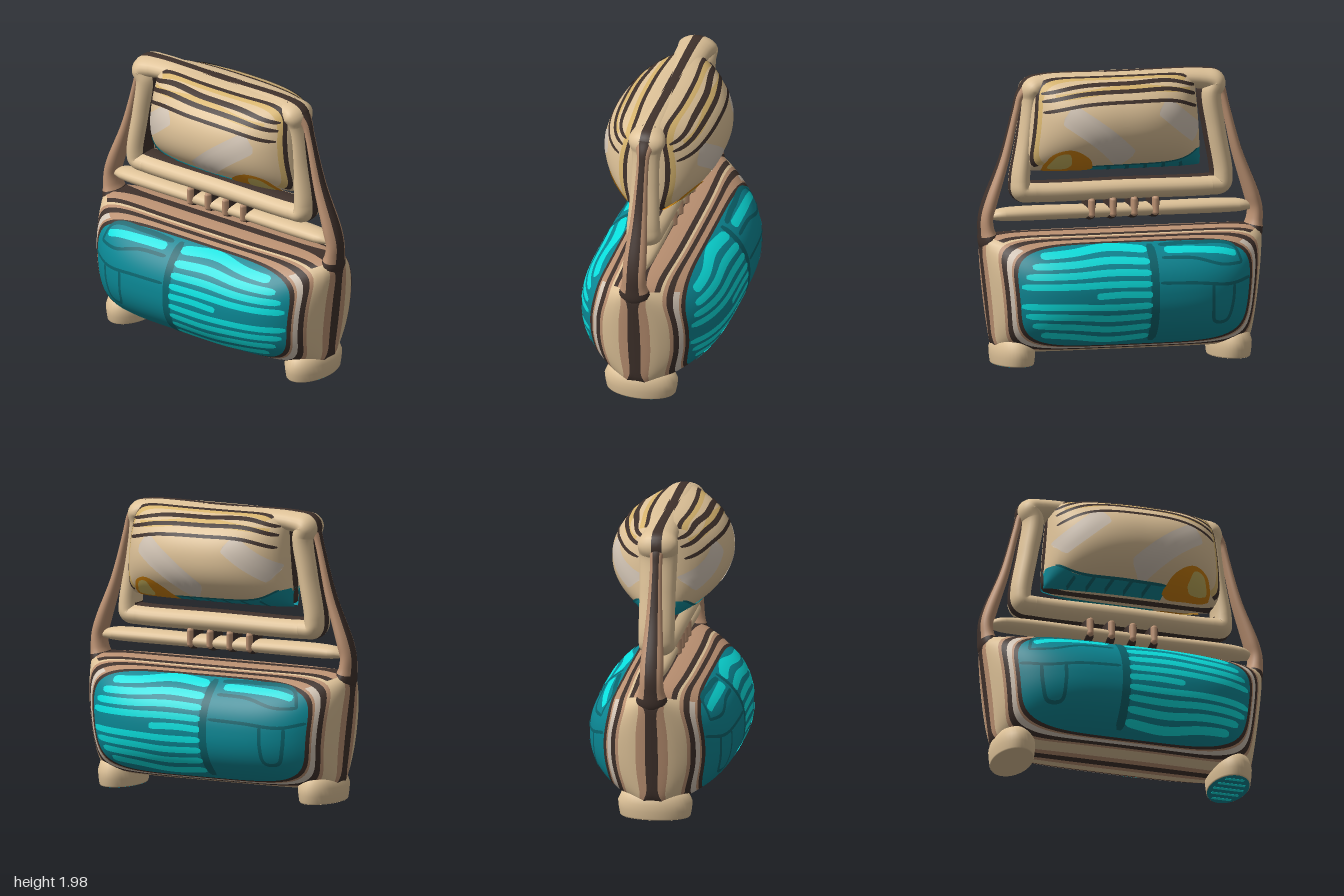
import * as THREE from 'three';

const V = (x, y, z) => new THREE.Vector3(x, y, z);
const paint = (name, color) => {
  const m = new THREE.MeshStandardMaterial({ color, side: THREE.DoubleSide });
  m.name = name;
  return m;
};
const dark = paint('dark seam', 0x40322c), beige = paint('beige', 0xdec298), brown = paint('brown', 0xbb9172);
const grey = paint('pale grey', 0xd5c7b7), gold = paint('gold', 0xd8b56e), teal = paint('teal', 0x0b8895);
const deep = paint('deep teal', 0x0a656e), cyan = paint('cyan', 0x0ae2e0);
const orange = paint('orange', 0xd0820a), olive = paint('olive yellow', 0xcab45e);

// Grid surface with one geometry group per colour
function gridMesh(name, ni, nj, pos, matOf, wrap = false, flip = false) {
  const cols = wrap ? nj : nj + 1, verts = [], faces = new Map();
  for (let i = 0; i <= ni; i++) for (let j = 0; j < cols; j++) verts.push(...pos(i, j).toArray());
  for (let i = 0; i < ni; i++) for (let j = 0; j < nj; j++) {
    const k = (j + 1) % cols, a = i * cols + j, b = i * cols + k, c = b + cols, d = a + cols;
    const m = matOf(i, j);
    if (!faces.has(m)) faces.set(m, []);
    faces.get(m).push(...(flip ? [a, c, b, a, d, c] : [a, b, c, a, c, d]));
  }
  const geo = new THREE.BufferGeometry(), index = [], mats = [...faces.keys()];
  mats.forEach((m, n) => {
    geo.addGroup(index.length, faces.get(m).length, n);
    for (const f of faces.get(m)) index.push(f);
  });
  geo.setAttribute('position', new THREE.Float32BufferAttribute(verts, 3));
  geo.setIndex(index);
  geo.computeVertexNormals();
  const mesh = new THREE.Mesh(geo, mats);
  mesh.name = name;
  return mesh;
}

// Inflated pillow: centre line, half width and depth rules
function pillow({ cy, h, mid, half, depth, p, e }) {
  return {
    uv: (X, v) => { const y = cy + h * v; return [mid(y) + half(y) * X, y]; },
    at: (x, y, s, off = 0) => {
      const X = Math.min(1, Math.abs((x - mid(y)) / half(y))), v = (y - cy) / h;
      const z = depth * Math.sqrt(Math.max(0, (1 - X ** p) * (1 - Math.abs(v) ** e)));
      return V(x, y + off * v, s * (z + off));
    },
  };
}

// Pillow half built from nested rounded rectangles; bands are [inner size, steps, colour rule]
function pillowHalf(name, P, bands, s) {
  const rings = [[1, null], [1, bands[0][2]]];
  let q0 = 1;
  for (const [q1, steps, rule] of bands) {
    for (let k = 1; k <= steps; k++) rings.push([q0 + (q1 - q0) * k / steps, rule]);
    q0 = q1;
  }
  const N = 128, ang = (j) => (j / N) * Math.PI * 2;
  return gridMesh(name, rings.length - 1, N, (i, j) => {
    const q = rings[i][0], n = 4.6 + 8 * Math.max(0, (q - 0.85) / 0.15) ** 1.5;
    const c = Math.cos(ang(j)), d = Math.sin(ang(j));
    const r = q * (Math.abs(c) ** n + Math.abs(d) ** n) ** (-1 / n);
    const pt = P.at(...P.uv(r * c, r * d), s);
    if (i === 0) pt.z = 0;
    return pt;
  }, (i, j) => rings[i + 1][1](Math.cos(ang(j + 0.5)), Math.sin(ang(j + 0.5))), true, s < 0);
}

// Painted area between a lower and an upper edge, rows are [x, low, high]
function area(name, P, rows, mat, off, s) {
  const curve = new THREE.CatmullRomCurve3(rows.map((r) => V(...r)), false, 'centripetal');
  return gridMesh(name, 32, 8, (i, j) => {
    const c = curve.getPoint(i / 32);
    return P.at(c.x, c.y + (c.z - c.y) * j / 8, s, off);
  }, () => mat, false, s > 0);
}

// Painted line of half width w with softened ends
function stroke(name, P, pts, w, mat, off, s) {
  const curve = new THREE.CatmullRomCurve3(pts.map(([x, y]) => V(x, y, 0)), false, 'centripetal');
  return gridMesh(name, 32, 4, (i, j) => {
    const t = i / 32, c = curve.getPoint(t), d = curve.getTangent(t);
    const k = w * (j / 2 - 1) * Math.min(1, 0.5 + 14 * Math.min(t, 1 - t));
    return P.at(c.x - d.y * k, c.y + d.x * k, s, off);
  }, () => mat, false, s < 0);
}

// Oval bar along [x, y, radius] points, deeper in z by a ratio
function bar(name, pts, ratio, matOf, closed = false) {
  const curve = new THREE.CatmullRomCurve3(pts.map((q) => V(...q)), closed, 'centripetal');
  const ni = closed ? 160 : 60, nj = 24;
  return gridMesh(name, ni, nj, (i, j) => {
    const c = curve.getPoint(i / ni), d = curve.getTangent(i / ni);
    const l = Math.hypot(d.x, d.y) || 1, f = (j / nj) * Math.PI * 2, k = c.z * Math.cos(f);
    return V(c.x - d.y / l * k, c.y + d.x / l * k, ratio * c.z * Math.sin(f));
  }, (i, j) => matOf(i / ni, Math.min(j, nj - 1 - j)), true);
}

export function createModel() {
  const model = new THREE.Group();
  model.name = 'inflated chair';
  const add = (m) => model.add(m);
  const all = (m) => () => m;
  const top = (a, b) => (c, d) => (d > Math.abs(c) ? a : b);

  // Seat body and backrest cushion
  const body = pillow({ cy: 0.49, h: 0.41, mid: () => 0, half: (y) => 0.905 + 0.115 * (y - 0.08), depth: 0.51, p: 3.7, e: 2.3 });
  const bodyBands = [
    [0.998, 2, all(dark)], [0.987, 3, all(brown)], [0.968, 3, top(brown, beige)], [0.948, 2, top(dark, beige)],
    [0.937, 2, all(beige)], [0.923, 2, all(brown)], [0.9, 2, all(dark)], [0.877, 2, top(brown, grey)],
    [0.867, 2, all(brown)], [0.845, 2, all(dark)], [0.001, 24, all(teal)],
  ];
  const rise = (y) => (y - 1.31) / 0.66;
  const cushion = pillow({ cy: 1.64, h: 0.33, mid: (y) => 0.075 - 0.01 * rise(y), half: (y) => 0.635 - 0.06 * rise(y), depth: 0.4, p: 2.6, e: 2.1 });
  const edge = (a) => (c, d) => (d > Math.abs(c) || c > Math.abs(d) ? a : beige);
  const cushionBands = [
    [0.996, 2, all(dark)], [0.955, 4, all(beige)], [0.93, 2, edge(dark)], [0.895, 2, edge(gold)], [0.001, 28, all(beige)],
  ];

  for (const s of [1, -1]) {
    add(pillowHalf('seat body', body, bodyBands, s));
    add(pillowHalf('back cushion', cushion, cushionBands, s));
    const line = (n, P, pts, w, m, off = 0.0045) => add(stroke(n, P, pts, w, m, off, s));
    const fill = (n, rows, m, off) => add(area(n, cushion, rows, m, off, s));

    // Panel divider and striped side
    line('panel divider', body, [[-0.11, 0.175], [-0.1, 0.5], [-0.11, 0.825]], 0.03, deep, 0.0035);
    for (let k = -4; k <= 4; k++) {
      const y = 0.505, e = 0.805 - 0.009 * k * k;
      const pts = k === 0
        ? [[-0.08, y], [0.1, y + 0.008], [0.31, y]]
        : [[-0.08, y + 0.072 * k], [0.2, y + 0.077 * k], [0.45, y + 0.07 * k], [e, y + 0.066 * k]];
      line('panel stripe', body, pts, 0.022, cyan);
    }
    // Plain side with a pill highlight and outlined pocket
    line('pill highlight', body, [[-0.71, 0.74], [-0.6, 0.765], [-0.4, 0.78], [-0.2, 0.785]], 0.02, cyan, 0.0055);
    line('pill outline', body, [[-0.75, 0.68], [-0.7, 0.79], [-0.4, 0.82], [-0.17, 0.815]], 0.01, deep);
    line('pill outline', body, [[-0.75, 0.68], [-0.6, 0.68], [-0.4, 0.73], [-0.17, 0.74]], 0.01, deep);
    line('pocket seam', body, [[-0.81, 0.58], [-0.65, 0.55], [-0.4, 0.57], [-0.14, 0.58]], 0.011, deep);
    line('pocket outline', body, [[-0.68, 0.55], [-0.67, 0.42], [-0.63, 0.3], [-0.54, 0.3], [-0.52, 0.42], [-0.52, 0.56]], 0.012, deep);

    // Cushion sheen and top stripes
    line('sheen', cushion, [[0.03, 1.4], [0.22, 1.56], [0.46, 1.73]], 0.08, grey, 0.003);
    line('sheen', cushion, [[-0.49, 1.55], [-0.35, 1.65], [-0.2, 1.77]], 0.07, grey, 0.003);
    fill('gold stripe', [[-0.44, 1.83, 1.86], [0, 1.865, 1.905], [0.52, 1.81, 1.85]], gold, 0.003);
    for (const [a, b, c, w] of [[1.73, 1.8, 1.73, 0.011], [1.81, 1.865, 1.8, 0.012], [1.865, 1.91, 1.85, 0.011]])
      line('cushion stripe', cushion, [[-0.49, a], [-0.3, (a + b) / 2 + 0.025], [0, b], [0.35, (b + c) / 2 + 0.02], [0.6, c]], w, dark, 0.0055);

    // Teal hem with ticks
    fill('teal hem', [[-0.55, 1.32, 1.45], [-0.47, 1.316, 1.43], [-0.38, 1.315, 1.38], [-0.1, 1.315, 1.362], [0.26, 1.315, 1.357]], teal, 0.005);
    line('hem edge', cushion, [[-0.5, 1.445], [-0.4, 1.395], [-0.3, 1.373], [0, 1.364], [0.26, 1.36]], 0.006, deep, 0.007);
    for (let k = 0; k < 5; k++)
      line('hem tick', cushion, [[-0.4 + 0.13 * k, 1.32], [-0.37 + 0.13 * k, 1.365]], 0.011, deep, 0.008);
    // Orange corner patch
    fill('orange patch', [[0.25, 1.33, 1.345], [0.3, 1.318, 1.42], [0.43, 1.318, 1.485], [0.54, 1.32, 1.45], [0.59, 1.33, 1.37]], orange, 0.006);
    fill('yellow patch', [[0.41, 1.37, 1.385], [0.44, 1.345, 1.455], [0.51, 1.34, 1.445], [0.56, 1.35, 1.37]], olive, 0.0085);
  }

  // Back frame with dark seams, its left upright fused into the cushion
  add(bar('back frame', [
    [-0.62, 1.17, 0.074], [0, 1.17, 0.074], [0.62, 1.17, 0.074], [0.7, 1.18, 0.074], [0.71, 1.25, 0.07], [0.67, 1.55, 0.06],
    [0.64, 1.8, 0.062], [0.63, 1.87, 0.078], [0.56, 1.9, 0.07], [0, 1.905, 0.066], [-0.56, 1.897, 0.074], [-0.65, 1.87, 0.084],
    [-0.625, 1.8, 0.08], [-0.66, 1.55, 0.075], [-0.71, 1.25, 0.075], [-0.7, 1.18, 0.074],
  ], 1.65, (t, j) => (j > 10 || (j < 2 && (t < 0.25 || t > 0.7)) ? dark : beige), true));

  // Lower rail and its ties
  add(bar('lower rail', [[-0.93, 1.0, 0.015], [-0.88, 1.015, 0.034], [-0.82, 1.02, 0.045], [0, 1.02, 0.046],
    [0.82, 1.02, 0.045], [0.88, 1.015, 0.034], [0.93, 1.0, 0.015]], 1.7, () => beige));
  for (const x of [-0.23, -0.08, 0.07, 0.22]) {
    for (const [r, depth, mat, name] of [[0.034, 3, brown, 'rail tie'], [0.043, 2, dark, 'rail tie seam']]) {
      const tie = new THREE.Mesh(new THREE.CapsuleGeometry(r, 0.09, 6, 16), mat);
      tie.position.set(x, 1.05, 0);
      tie.scale.z = depth;
      tie.name = name;
      add(tie);
    }
  }

  for (const m of [1, -1]) {
    // Side strut with dark collar
    add(bar('side strut', [[0.9, 0.76, 0.04], [0.925, 0.83, 0.068], [0.945, 0.92, 0.055], [0.948, 1.0, 0.05], [0.922, 1.1, 0.05],
      [0.818, 1.4, 0.035], [0.733, 1.74, 0.026], [0.71, 1.82, 0.03], [0.66, 1.88, 0.05]].map(([x, y, r]) => [m * x, y, r]),
    1.6, (t, j) => ((t > 0.1 && t < 0.2) || (m > 0 ? j > 9 : j < 2) ? dark : brown)));

    // Foot
    const profile = [[0.001, 0.004], [0.97, 0.004], [1, 0.012], [1.04, 0.06], [1.06, 0.11], [0.95, 0.17], [0.6, 0.22]];
    const foot = new THREE.Mesh(new THREE.LatheGeometry(profile.map((q) => new THREE.Vector2(...q)), 40), beige);
    foot.scale.set(0.14, 1, 0.24);
    foot.position.x = m * 0.762;
    foot.name = 'foot';
    add(foot);
    const sole = new THREE.Mesh(new THREE.CircleGeometry(0.96, 40).rotateX(Math.PI / 2), m > 0 ? teal : beige);
    sole.scale.copy(foot.scale);
    sole.position.set(m * 0.762, 0.003, 0);
    sole.name = 'sole';
    add(sole);
  }
  // Stripes under the left foot
  for (let k = -2; k <= 2; k++) {
    const strip = new THREE.Mesh(new THREE.BoxGeometry(0.21 - 0.02 * k * k, 0.002, 0.03), cyan);
    strip.position.set(0.762, 0.001, k * 0.08);
    strip.name = 'sole stripe';
    add(strip);
  }
  return model;
}
